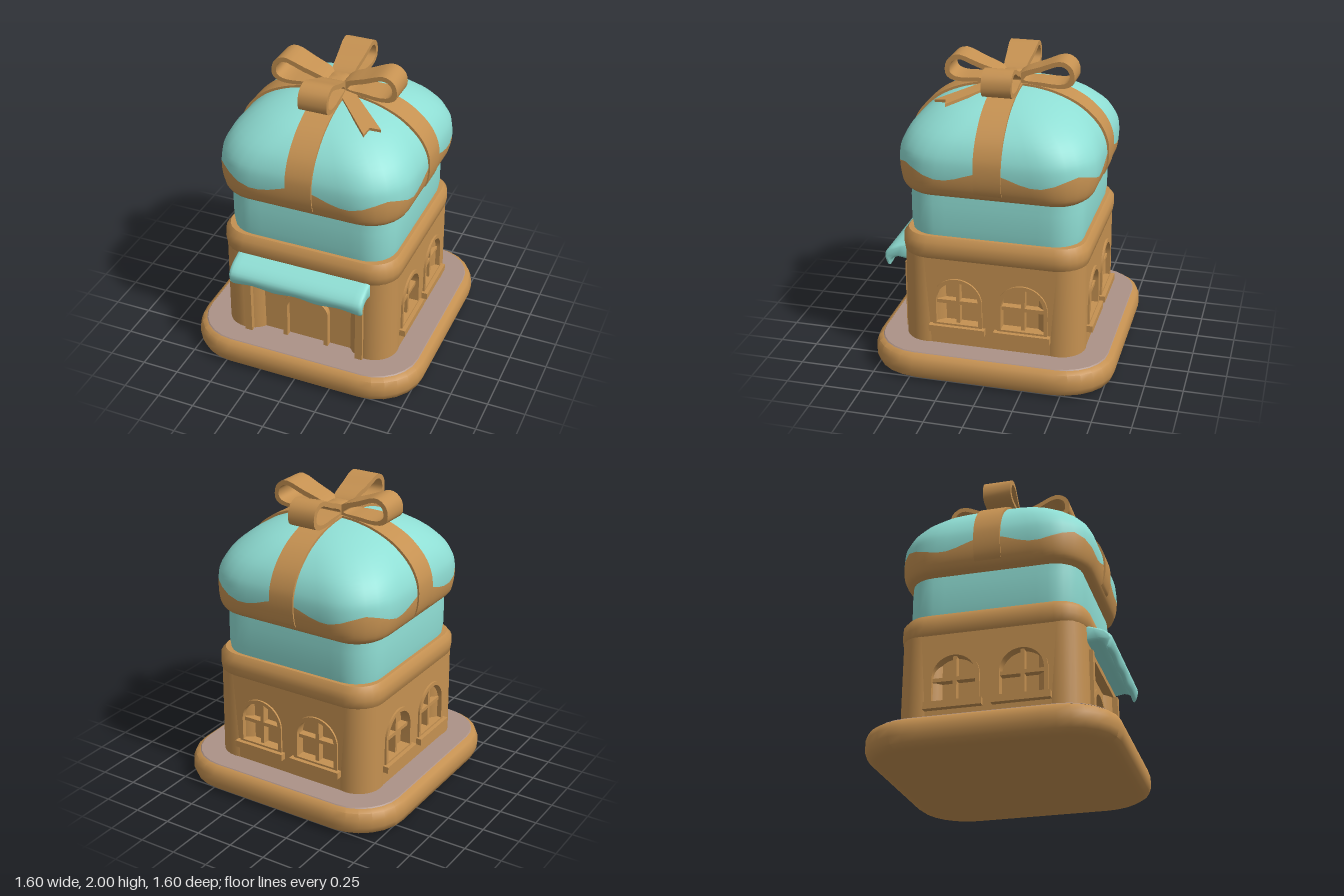
import * as THREE from 'three';
import { toCreasedNormals } from 'three/addons/utils/BufferGeometryUtils.js';

const mat = (name, color) => {
  const m = new THREE.MeshStandardMaterial({ color });
  m.name = name;
  return m;
};

// Points of a rounded square of half width h and corner radius r, as [x, z]
function ring(h, r) {
  const pts = [];
  r = Math.min(r, h);
  for (let q = 0; q < 4; q++) {
    const add = (x, z) => {
      const c = Math.round(Math.cos(q * Math.PI / 2)), s = Math.round(Math.sin(q * Math.PI / 2));
      pts.push([x * c - z * s, x * s + z * c]);
    };
    for (let i = 0; i < 10; i++) add(h, (h - r) * (i / 5 - 1));
    for (let i = 0; i < 6; i++) {
      const a = i / 6 * Math.PI / 2;
      add(h - r + r * Math.cos(a), h - r + r * Math.sin(a));
    }
  }
  return pts;
}

// Skin over rings stacked from bottom to top; each ring is a list of [x, y, z]
function skin(rings, crease = 0.7) {
  const n = rings[0].length, idx = [];
  for (let i = 0; i < rings.length - 1; i++) {
    for (let j = 0; j < n; j++) {
      const a = i * n + j, b = i * n + (j + 1) % n;
      idx.push(a, a + n, b, b, a + n, b + n);
    }
  }
  const g = new THREE.BufferGeometry();
  g.setAttribute('position', new THREE.Float32BufferAttribute(rings.flat(2), 3));
  g.setIndex(idx);
  return toCreasedNormals(g, crease);
}

// Closed rounded-square block from a profile of [half width, y, corner radius]
function block(profile) {
  const first = profile[0], last = profile[profile.length - 1];
  const rows = [[0.001, first[1], 0.001], ...profile, [0.001, last[1], 0.001]];
  return skin(rows.map(([h, y, r]) => ring(h, r).map(([x, z]) => [x, y, z])));
}

// Extrusion centred on z = 0
function slice(shape, depth, curveSegments = 10) {
  const g = new THREE.ExtrudeGeometry(shape, { depth, bevelEnabled: false, curveSegments });
  g.translate(0, 0, -depth / 2);
  return toCreasedNormals(g, 0.6);
}

const v2 = (list) => list.map(([x, y]) => new THREE.Vector2(x, y));
const smoothLoop = (list) =>
  new THREE.CatmullRomCurve3(list.map(([x, y]) => new THREE.Vector3(x, y, 0)), true)
    .getPoints(28).slice(0, 28).map((p) => new THREE.Vector2(p.x, p.y));

// Arched outline around centre cx
function arch(path, cx, w, y0, ySpring, rise) {
  path.moveTo(cx - w, y0);
  path.lineTo(cx + w, y0);
  path.lineTo(cx + w, ySpring);
  path.absellipse(cx, ySpring, w, rise, 0, Math.PI, false);
  path.lineTo(cx - w, y0);
  return path;
}

export function createModel() {
  const root = new THREE.Group();
  root.name = 'giftBoxHouse';
  const brown = mat('caramel', 0xc59151);
  const teal = mat('mint', 0x8fded4);
  const mauve = mat('dustyPaving', 0xac9287);
  const add = (parent, name, geo, m, x = 0, y = 0, z = 0) => {
    const mesh = new THREE.Mesh(geo, m);
    mesh.name = name;
    mesh.position.set(x, y, z);
    parent.add(mesh);
    return mesh;
  };
  const group = (name, parent = root) => {
    const g = new THREE.Group();
    g.name = name;
    parent.add(g);
    return g;
  };

  // Base slab with paving
  add(root, 'baseSlab', block([[0.7, 0, 0.28], [0.75, 0, 0.3], [0.785, 0.025, 0.32], [0.8, 0.07, 0.33],
    [0.8, 0.12, 0.33], [0.785, 0.165, 0.32], [0.755, 0.185, 0.3], [0.7, 0.187, 0.28]]), brown);
  add(root, 'paving', block([[0.755, 0.184, 0.29], [0.75, 0.19, 0.29]]), mauve);

  // House: inner core, rounded corner posts and four walls
  const house = group('house');
  add(house, 'core', block([[0.535, 0.18, 0.14], [0.535, 0.82, 0.14]]), brown);
  for (const x of [-1, 1]) for (const z of [-1, 1])
    add(house, 'cornerPost', new THREE.CylinderGeometry(0.16, 0.165, 0.64, 28), brown, x * 0.435, 0.5, z * 0.435);

  for (let k = 0; k < 4; k++) {
    const wall = group(k ? 'windowWall' : 'doorWall', house);
    wall.rotation.y = k * Math.PI / 2;
    const shape = new THREE.Shape(v2([[-0.44, 0.17], [0.44, 0.17], [0.44, 0.82], [-0.44, 0.82]]));
    if (k === 0) {
      shape.holes.push(new THREE.Path(v2([[-0.37, 0.18], [-0.37, 0.66], [0.37, 0.66], [0.37, 0.18]])));
      for (const s of [-1, 1])
        add(wall, 'doorJamb', new THREE.BoxGeometry(0.05, 0.47, 0.05), brown, s * 0.395, 0.425, 0.595);
      const frame = arch(new THREE.Shape(), 0, 0.16, 0.18, 0.44, 0.11);
      frame.holes.push(arch(new THREE.Path(), 0, 0.13, 0.185, 0.43, 0.09));
      add(wall, 'doorFrame', slice(frame, 0.05), brown, 0, 0, 0.55);
    } else {
      for (const cx of [-0.215, 0.215]) {
        shape.holes.push(arch(new THREE.Path(), cx, 0.15, 0.33, 0.5, 0.15));
        const frame = arch(new THREE.Shape(), cx, 0.165, 0.32, 0.5, 0.165);
        frame.holes.push(arch(new THREE.Path(), cx, 0.14, 0.345, 0.5, 0.14));
        add(wall, 'windowFrame', slice(frame, 0.07), brown, 0, 0, 0.573);
        add(wall, 'mullion', new THREE.BoxGeometry(0.025, 0.31, 0.05), brown, cx, 0.49, 0.56);
        add(wall, 'crossbar', new THREE.BoxGeometry(0.29, 0.025, 0.05), brown, cx, 0.49, 0.56);
        add(wall, 'windowSill', new THREE.BoxGeometry(0.37, 0.045, 0.08), brown, cx, 0.31, 0.595);
      }
    }
    add(wall, 'wallPanel', slice(shape, 0.065), brown, 0, 0, 0.5625);
  }

  // Cornice and upper tier
  add(root, 'cornice', block([[0.58, 0.775, 0.16], [0.602, 0.8, 0.18], [0.61, 0.85, 0.19],
    [0.607, 0.905, 0.19], [0.58, 0.94, 0.17]]), brown);
  add(root, 'upperTier', block([[0.555, 0.93, 0.18], [0.565, 1.0, 0.19], [0.565, 1.15, 0.19],
    [0.56, 1.23, 0.18]]), teal);

  // Awning over the door, drooping at the front
  const awning = new THREE.Shape(smoothLoop([[0.56, 0.81], [0.64, 0.795], [0.71, 0.765], [0.748, 0.72],
    [0.735, 0.66], [0.715, 0.645], [0.7, 0.685], [0.66, 0.705], [0.56, 0.7]]));
  const awningGeo = new THREE.ExtrudeGeometry(awning, {
    depth: 0.87, steps: 24, bevelThickness: 0.025, bevelSize: 0.015, bevelOffset: -0.015, bevelSegments: 2 });
  awningGeo.translate(0, 0, -0.435);
  awningGeo.rotateY(-Math.PI / 2);
  const ap = awningGeo.attributes.position;
  for (let i = 0; i < ap.count; i++) {
    const drop = Math.max(0, 0.72 - ap.getY(i));
    ap.setY(i, ap.getY(i) + drop * 0.1 * Math.cos(ap.getX(i) * 21));
  }
  add(root, 'awning', toCreasedNormals(awningGeo, 0.8), teal);

  // Dome: icing band below a wavy edge, mint above it
  const dome = new THREE.CatmullRomCurve3([[0.56, 1.215, 0.18], [0.61, 1.25, 0.25], [0.635, 1.32, 0.29],
    [0.642, 1.42, 0.31], [0.63, 1.5, 0.31], [0.58, 1.6, 0.31], [0.47, 1.705, 0.29], [0.33, 1.775, 0.22],
    [0.17, 1.815, 0.13], [0.002, 1.825, 0.002]].map((p) => new THREE.Vector3(...p))).getPoints(36);
  const at = (y) => {
    let i = 0;
    while (i < dome.length - 2 && dome[i + 1].y < y) i++;
    const t = THREE.MathUtils.clamp((y - dome[i].y) / (dome[i + 1].y - dome[i].y), 0, 1);
    return dome[i].clone().lerp(dome[i + 1], t);
  };
  const edge = ring(0.642, 0.31).map(([x, z]) =>
    1.39 + 0.037 * Math.cos(Math.min(Math.abs(x), Math.abs(z)) * Math.PI / 0.3));
  const domeRings = (rows, clamp) => rows.map((p) => edge.map((e, j) => {
    const y = clamp(p.y, e), q = at(y), [x, z] = ring(q.x, q.z)[j];
    return [x, y, z];
  }));
  const lower = domeRings(dome.filter((p) => p.y < 1.48), Math.min);
  lower.unshift(lower[0].map(([x, y, z]) => [x * 0.8, y, z * 0.8]));
  add(root, 'icingBand', skin(lower, 1.2), brown);
  add(root, 'domeTop', skin(domeRings(dome.filter((p) => p.y > 1.31), Math.max), 1.2), teal);

  // Crossed ribbons over the dome
  const half = dome.filter((p, i) => p.y > 1.25 && i < dome.length - 1);
  const outer = half.map((p) => [p.x + 0.012, p.y + 0.012]);
  const inner = half.map((p) => [p.x * 0.94, p.y - 0.03]);
  const flip = (list) => list.map(([x, y]) => [-x, y]).reverse();
  const band = slice(new THREE.Shape(v2([...outer, ...flip(outer), ...flip(inner).reverse(),
    ...inner.slice().reverse()])), 0.175);
  for (let k = 0; k < 2; k++) add(root, 'ribbon', band, brown).rotation.y = k * Math.PI / 2;

  // Bow: four loops, knot and one notched tail
  const bow = group('bow');
  const loop = new THREE.Shape(smoothLoop([[0.03, 1.835], [0.2, 1.825], [0.37, 1.825], [0.418, 1.86],
    [0.41, 1.95], [0.34, 1.996], [0.2, 1.95], [0.05, 1.885]]));
  loop.holes.push(new THREE.Path(smoothLoop([[0.09, 1.855], [0.2, 1.85], [0.35, 1.85], [0.39, 1.88],
    [0.38, 1.94], [0.33, 1.965], [0.21, 1.92], [0.1, 1.875]])));
  const loopGeo = slice(loop, 0.19);
  const lp = loopGeo.attributes.position;
  for (let i = 0; i < lp.count; i++)
    lp.setZ(i, lp.getZ(i) * THREE.MathUtils.clamp(0.72 + lp.getX(i), 0.75, 1));
  for (let k = 0; k < 4; k++) add(bow, 'bowLoop', loopGeo, brown).rotation.y = k * Math.PI / 2;
  add(bow, 'knot', block([[0.07, 1.81, 0.03], [0.085, 1.84, 0.04], [0.08, 1.875, 0.04], [0.05, 1.89, 0.03]]), brown);
  const tail = slice(new THREE.Shape(v2([[0.05, -0.045], [0.54, -0.06], [0.49, 0], [0.53, 0.06], [0.05, 0.045]])), 0.02);
  tail.rotateX(-Math.PI / 2);
  tail.rotateZ(-0.17);
  add(bow, 'bowTail', tail, brown, 0, 1.85, 0).rotation.y = -Math.PI / 4;

  return root;
}
